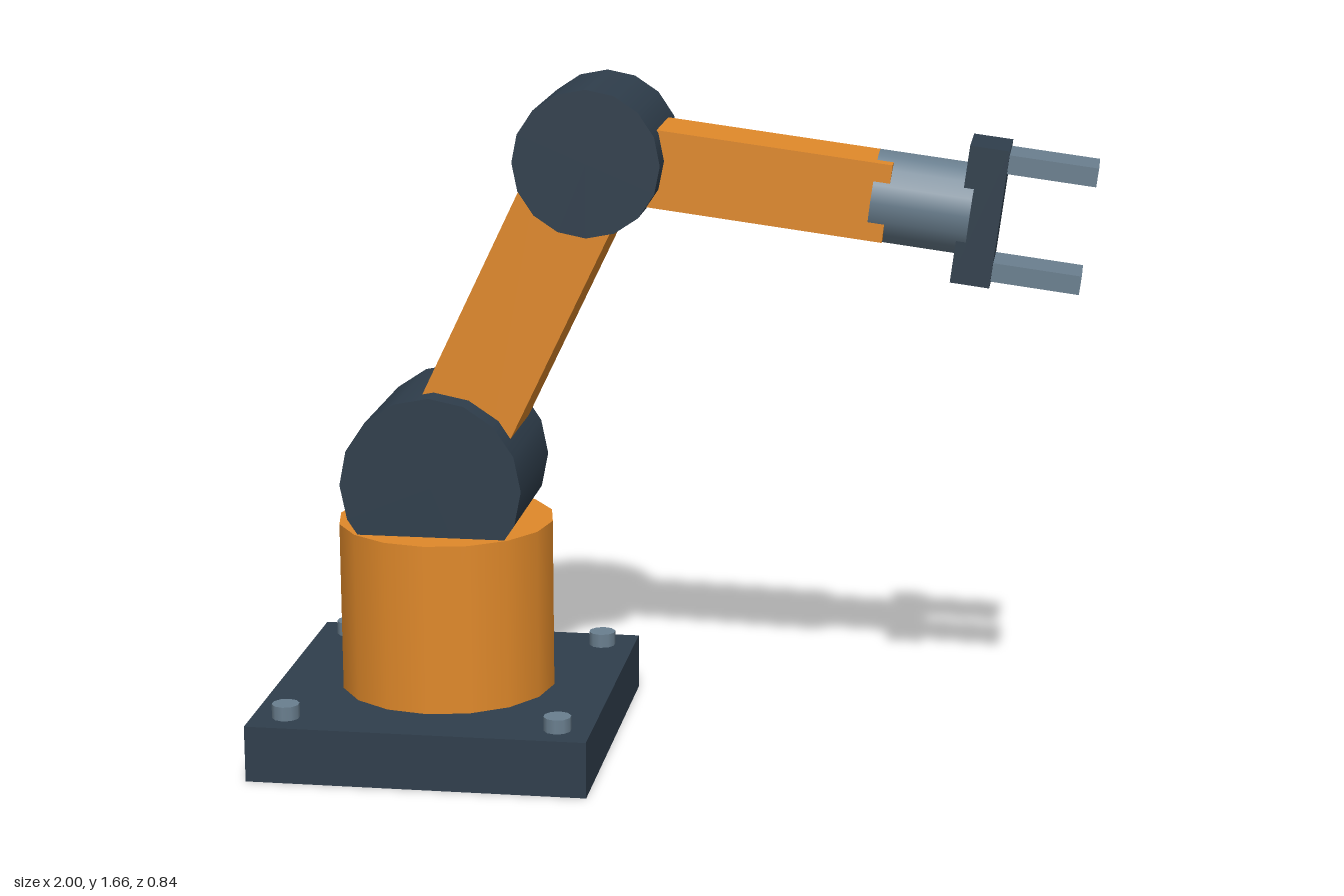
import * as THREE from 'three';

const orange = new THREE.MeshStandardMaterial({ color: 0xe0892a });
const dark = new THREE.MeshStandardMaterial({ color: 0x2f3e4c });
const steel = new THREE.MeshStandardMaterial({ color: 0x6a7f8f });

function add(parent, name, geometry, material, x, y, z = 0) {
  const mesh = new THREE.Mesh(geometry, material);
  mesh.name = name;
  mesh.position.set(x, y, z);
  parent.add(mesh);
  return mesh;
}

const box = (w, h, d) => new THREE.BoxGeometry(w, h, d);
const drum = (r, h, sides = 16) => new THREE.CylinderGeometry(r, r, h, sides);

export function createModel() {
  const model = new THREE.Group();
  model.name = 'robotArm';
  const baseX = -0.582;
  const shoulder = new THREE.Vector2(baseX, 0.688);
  const elbow = new THREE.Vector2(-0.198, 1.488);

  // Base plate with a bolt near each corner
  add(model, 'basePlate', box(0.836, 0.14, 0.836), dark, baseX, 0.07);
  for (const sx of [-1, 1]) {
    for (const sz of [-1, 1]) {
      add(model, 'bolt', drum(0.034, 0.055, 10), steel, baseX + sx * 0.335, 0.1475, sz * 0.335);
    }
  }

  // Turret and the two joint drums, whose axes run along z
  add(model, 'turret', drum(0.268, 0.425), orange, baseX, 0.3525);
  add(model, 'shoulderJoint', drum(0.224, 0.374).rotateX(Math.PI / 2), dark, shoulder.x, shoulder.y);
  add(model, 'elbowJoint', drum(0.177, 0.334).rotateX(Math.PI / 2), dark, elbow.x, elbow.y);

  // Upper arm spans shoulder to elbow
  const span = elbow.clone().sub(shoulder);
  const middle = shoulder.clone().add(elbow).multiplyScalar(0.5);
  const upperArm = add(model, 'upperArm', box(span.length(), 0.24, 0.244), orange, middle.x, middle.y);
  upperArm.rotation.z = span.angle();

  // Forearm group: local x runs from the elbow to the fingertips
  const forearm = new THREE.Group();
  forearm.name = 'forearmAssembly';
  forearm.position.set(elbow.x, elbow.y, 0);
  forearm.rotation.z = THREE.MathUtils.degToRad(-7.2);
  model.add(forearm);

  add(forearm, 'forearm', box(0.712, 0.187, 0.196), orange, 0.356, 0);
  add(forearm, 'wrist', drum(0.111, 0.235).rotateZ(Math.PI / 2), steel, 0.79, 0);
  add(forearm, 'gripperPlate', box(0.094, 0.33, 0.176), dark, 0.931, 0);
  for (const side of [-1, 1]) {
    add(forearm, 'gripperFinger', box(0.23, 0.045, 0.136), steel, 1.073, side * 0.13);
  }

  return model;
}
